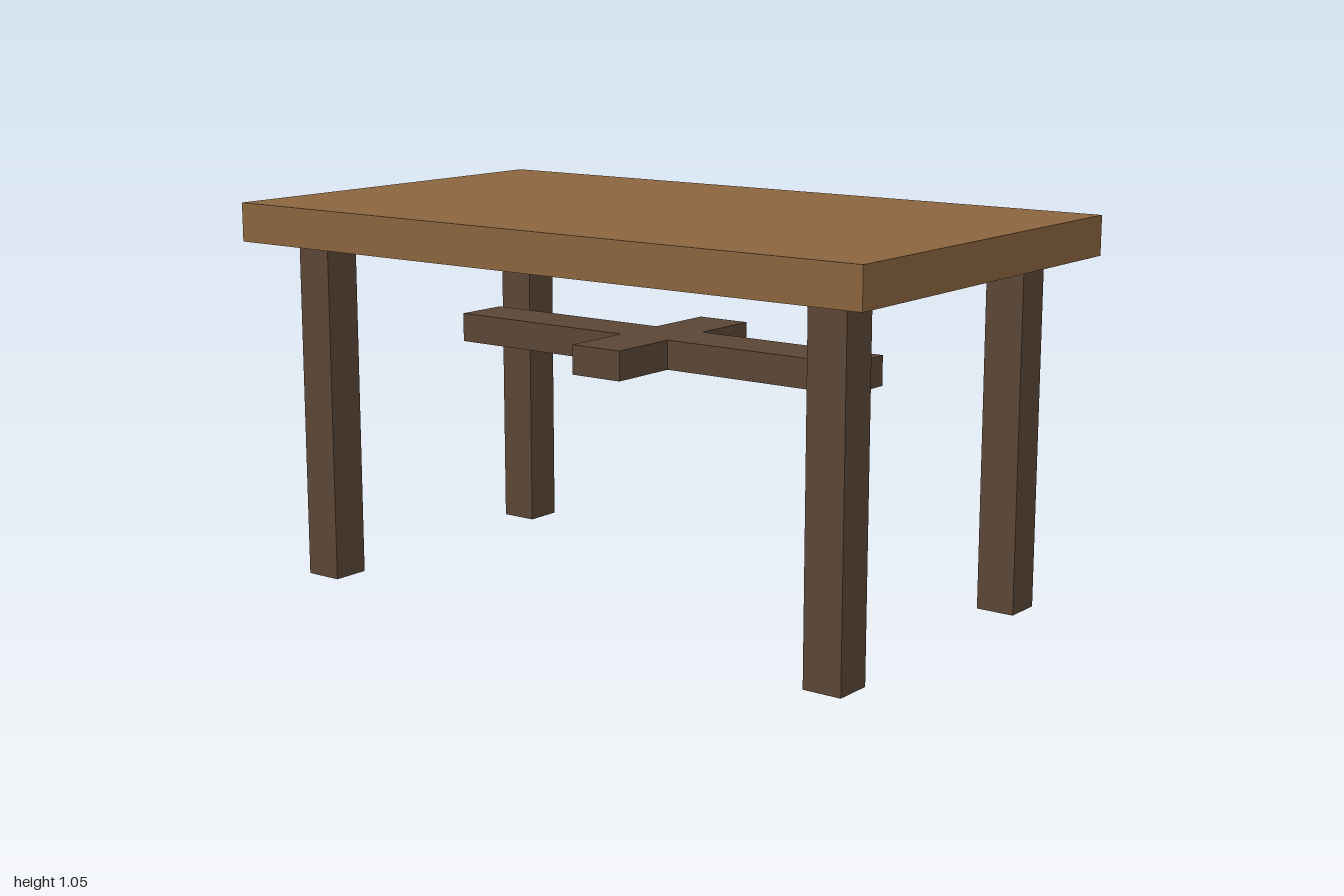
import * as THREE from 'three';

export function createModel() {
  const table = new THREE.Group();
  table.name = 'table';
  const topWood = new THREE.MeshStandardMaterial({ color: 0x8b643e });
  const darkWood = new THREE.MeshStandardMaterial({ color: 0x5a4636 });

  // Box given by its size and the height of its underside
  function addBox(name, material, width, height, depth, x, bottom, z) {
    const mesh = new THREE.Mesh(new THREE.BoxGeometry(width, height, depth), material);
    mesh.name = name;
    mesh.position.set(x, bottom + height / 2, z);
    table.add(mesh);
  }

  // Tabletop
  addBox('tabletop', topWood, 2, 0.107, 1.162, 0, 0.948, 0);

  // Four legs, set in from the corners
  for (const [side, sx] of [['Left', 1], ['Right', -1]]) {
    for (const [end, sz] of [['front', 1], ['back', -1]]) {
      addBox(`${end}${side}Leg`, darkWood, 0.108, 0.948, 0.108, sx * 0.838, 0, sz * 0.42);
    }
  }

  // Crossed stretchers: one long beam, with a short arm to each side
  addBox('longStretcher', darkWood, 1.3, 0.08, 0.157, 0, 0.638, 0);
  for (const [end, sz] of [['front', 1], ['back', -1]]) {
    addBox(`${end}StretcherArm`, darkWood, 0.157, 0.08, 0.206, 0, 0.638, sz * 0.1815);
  }

  return table;
}
